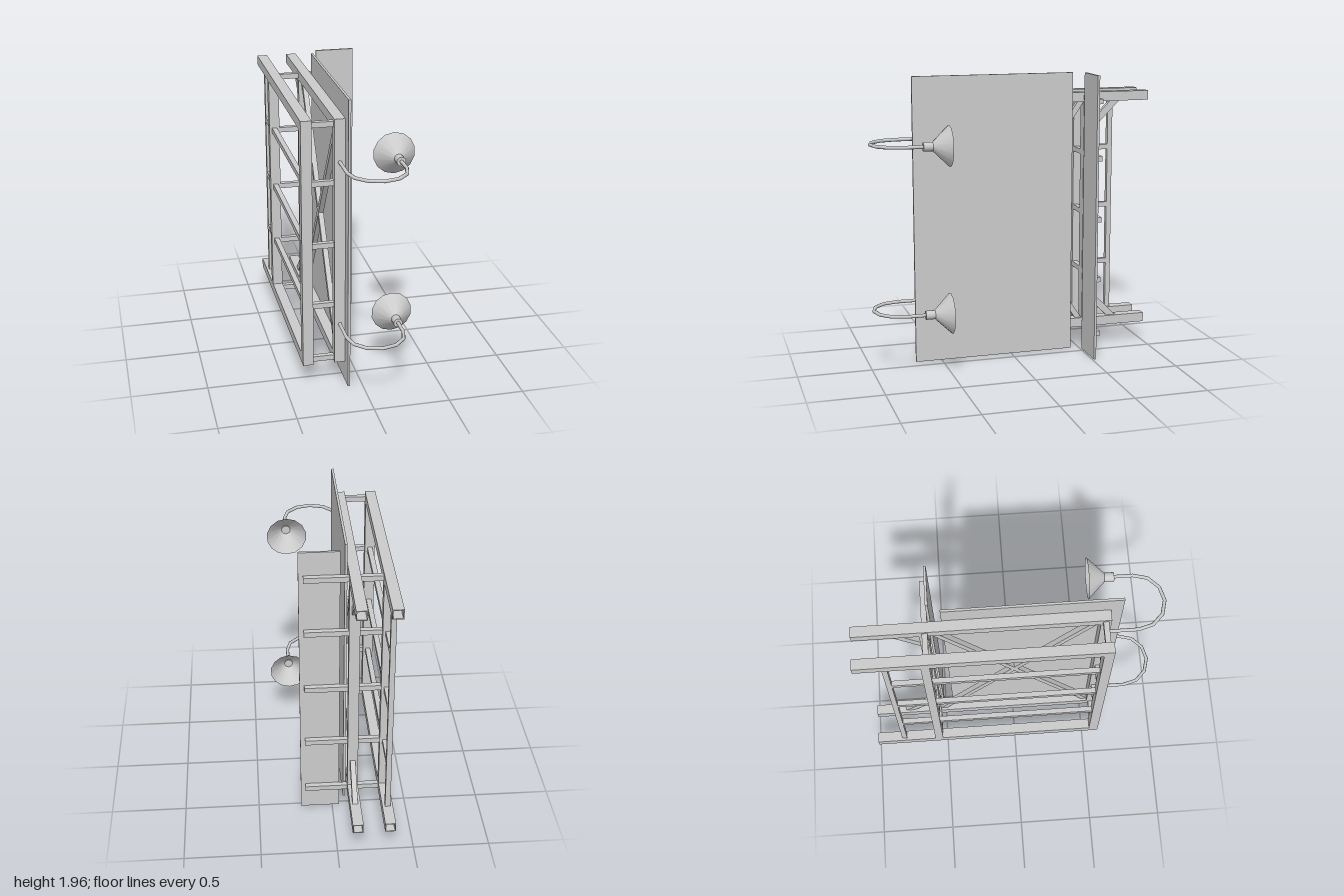
import * as THREE from 'three';

const grey = new THREE.MeshStandardMaterial({ color: 0xcccccc });
const greyDouble = new THREE.MeshStandardMaterial({ color: 0xcccccc, side: THREE.DoubleSide });

const MID_Y = 0.98;
const LEVELS = [0.175, 0.56, MID_Y, 1.4, 1.785];
const OUTER_X = -0.345, INNER_X = -0.134;
const BEAM = 0.07, BAR = 0.035;

// Box given by its minimum and maximum on each axis
function box(parent, name, [x0, x1], [y0, y1], [z0, z1]) {
  const mesh = new THREE.Mesh(new THREE.BoxGeometry(x1 - x0, y1 - y0, z1 - z0), grey);
  mesh.name = name;
  mesh.position.set((x0 + x1) / 2, (y0 + y1) / 2, (z0 + z1) / 2);
  parent.add(mesh);
}

const around = (c, size) => [c - size / 2, c + size / 2];

// Square bar running between two [y, z] points at a fixed x
function brace(parent, name, x, [y0, z0], [y1, z1], width) {
  const length = Math.hypot(y1 - y0, z1 - z0);
  const mesh = new THREE.Mesh(new THREE.BoxGeometry(BAR, width, length), grey);
  mesh.name = name;
  mesh.position.set(x, (y0 + y1) / 2, (z0 + z1) / 2);
  mesh.rotation.x = -Math.atan2(y1 - y0, z1 - z0);
  parent.add(mesh);
}

// Hollow square tube along z
function hollowBeam(parent, name, x, y, z0, z1) {
  const square = (Path, w, h) => new Path([[-w, -h], [w, -h], [w, h], [-w, h]].map(([a, b]) => new THREE.Vector2(a, b)));
  const shape = square(THREE.Shape, BEAM / 2, 0.0325);
  shape.holes.push(square(THREE.Path, BEAM / 2 - 0.006, 0.0265));
  const mesh = new THREE.Mesh(new THREE.ExtrudeGeometry(shape, { depth: z1 - z0, bevelEnabled: false }), grey);
  mesh.name = name;
  mesh.position.set(x, y, z0);
  parent.add(mesh);
}

// Path of straight segments, sampled evenly per segment
class Polyline extends THREE.Curve {
  constructor(points) { super(); this.points = points; }
  getPoint(t, target = new THREE.Vector3()) {
    const n = this.points.length - 1;
    const i = Math.min(Math.floor(t * n + 1e-9), n - 1);
    return target.lerpVectors(this.points[i], this.points[i + 1], t * n - i);
  }
  getPointAt(t, target) { return this.getPoint(t, target); }
  getTangentAt(t, target) { return this.getTangent(t, target); }
}

function createLamp(y) {
  const lamp = new THREE.Group();
  lamp.name = 'lamp';
  const lampX = 0.239;

  // Arm: straight out, half turn, straight back
  const points = [new THREE.Vector3(INNER_X, 0, 0.6)];
  const r = (lampX - INNER_X) / 2, cx = (lampX + INNER_X) / 2;
  for (let i = 0; i <= 6; i++) {
    const a = Math.PI * (1 - i / 6);
    points.push(new THREE.Vector3(cx + r * Math.cos(a), 0, 0.8 + r * Math.sin(a)));
  }
  points.push(new THREE.Vector3(lampX, 0, 0.66));
  const arm = new THREE.Mesh(new THREE.TubeGeometry(new Polyline(points), points.length - 1, 0.012, 8), grey);
  arm.name = 'lampArm';

  // Socket and open shade facing the sign
  const socket = new THREE.Mesh(new THREE.CylinderGeometry(0.03, 0.03, 0.07, 14).rotateX(Math.PI / 2), grey);
  socket.name = 'lampSocket';
  socket.position.set(lampX, 0, 0.642);
  const shade = new THREE.Mesh(
    new THREE.CylinderGeometry(0.03, 0.137, 0.11, 14, 1, true).rotateX(Math.PI / 2).rotateZ(Math.PI), greyDouble);
  shade.name = 'lampShade';
  shade.position.set(lampX, 0, 0.56);

  lamp.add(arm, socket, shade);
  lamp.position.y = y;
  return lamp;
}

export function createModel() {
  const model = new THREE.Group();
  model.name = 'lampLitSignboard';

  // Panels
  box(model, 'mainPanel', [-0.098, -0.082], [0, 1.96], [-0.44, 0.68]);
  box(model, 'sidePanel', [-0.047, 0.212], [0, 1.96], [-0.528, -0.512]);

  // Two upright frames: hollow rails, front post, rear post
  for (const [name, x] of [['outerFrame', OUTER_X], ['innerFrame', INNER_X]]) {
    const frame = new THREE.Group();
    frame.name = name;
    for (const y of [0.1775, 1.7875]) hollowBeam(frame, 'rail', x, y, -1, 0.54);
    box(frame, 'frontPost', around(x, BEAM), [0.145, 1.82], [0.54, 0.605]);
    box(frame, 'rearPost', around(x, BEAM), [0.21, 1.755], [-0.583, -0.528]);
    model.add(frame);
  }

  // Outer frame: slim back post and horizontal bars
  box(model, 'backPost', around(OUTER_X, BAR), [0.21, 1.755], [-0.825, -0.79]);
  for (const y of LEVELS.slice(1, 4))
    box(model, 'horizontalBar', around(OUTER_X, BAR), around(y, BAR), [-0.79, 0.54]);

  // Inner frame: crossed braces and knee braces, mirrored about mid height
  for (const s of [-1, 1]) {
    brace(model, 'crossBrace', INNER_X, [MID_Y + s * 0.79, -0.52], [MID_Y - s * 0.79, 0.535], 0.038);
    brace(model, 'kneeBrace', INNER_X, [MID_Y + s * 0.58, -0.565], [MID_Y + s * 0.79, -0.775], 0.047);
  }

  // Bars tying the frames together; the rear ones also carry the side panel
  for (const y of LEVELS) {
    box(model, 'frontTie', [-0.31, -0.169], around(y, BAR), [0.552, 0.587]);
    box(model, 'rearTie', [-0.31, 0.182], around(y, BAR), [-0.564, -0.528]);
  }

  // Lamps
  for (const y of [0.425, 1.54]) model.add(createLamp(y));

  return model;
}
